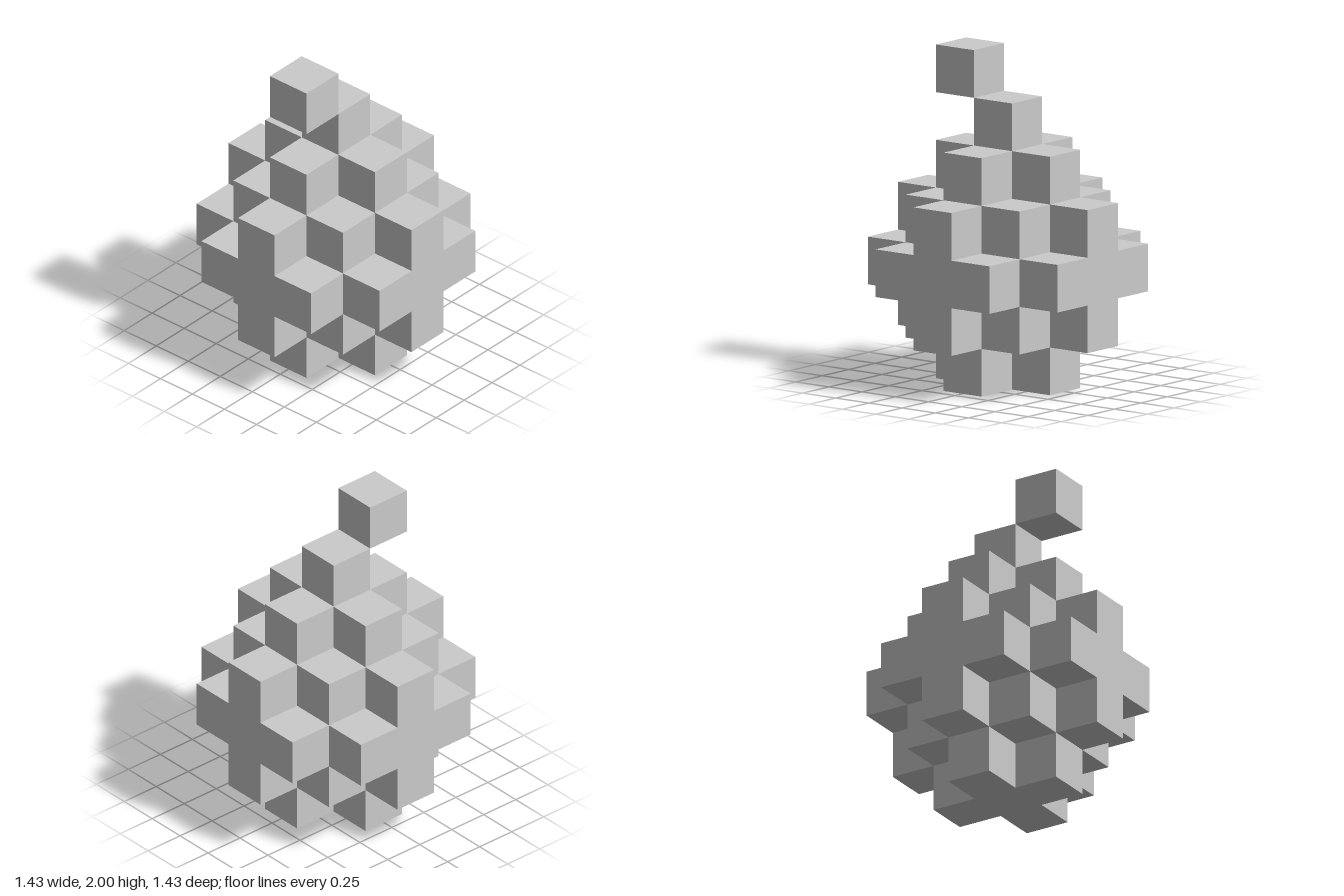
import * as THREE from 'three';
import { mergeGeometries } from 'three/addons/utils/BufferGeometryUtils.js';

const S = 2 / 7; // cube edge: the model is seven cubes tall

const DIRECTIONS = [
  [1, 0, 0], [-1, 0, 0], [0, 1, 0], [0, -1, 0], [0, 0, 1], [0, 0, -1],
];
const key = (x, y, z) => `${x},${y},${z}`;

// Rounded body: cells of a 5 x 5 x 5 block that lie near its centre
function bodyCells() {
  const cells = [];
  for (let x = -2; x <= 2; x++)
    for (let y = -2; y <= 2; y++)
      for (let z = -2; z <= 2; z++)
        if (x * x + y * y + z * z <= 5) cells.push([x, y + 2, z]);
  return cells;
}

// Joins the outer faces of a set of cubes, skipping those against a filled cell
function cubesGeometry(cells, filled) {
  const faces = [];
  for (const [x, y, z] of cells) {
    for (const [dx, dy, dz] of DIRECTIONS) {
      if (filled.has(key(x + dx, y + dy, z + dz))) continue;
      const turn = new THREE.Quaternion().setFromUnitVectors(
        new THREE.Vector3(0, 0, 1), new THREE.Vector3(dx, dy, dz));
      faces.push(new THREE.PlaneGeometry(S, S)
        .translate(0, 0, S / 2)
        .applyQuaternion(turn)
        .translate(x * S, (y + 0.5) * S, z * S));
    }
  }
  return mergeGeometries(faces);
}

export function createModel() {
  const group = new THREE.Group();
  group.name = 'blockFruit';
  const material = new THREE.MeshStandardMaterial({ color: 0xcccccc, flatShading: true });

  const parts = {
    body: bodyCells(),
    stem: [[0, 5, 0]],
    stemTip: [[0, 6, 1]], // touches the stem along one edge, towards the front
  };
  const filled = new Set(Object.values(parts).flat().map((c) => key(...c)));

  for (const [name, cells] of Object.entries(parts)) {
    const mesh = new THREE.Mesh(cubesGeometry(cells, filled), material);
    mesh.name = name;
    group.add(mesh);
  }
  return group;
}
